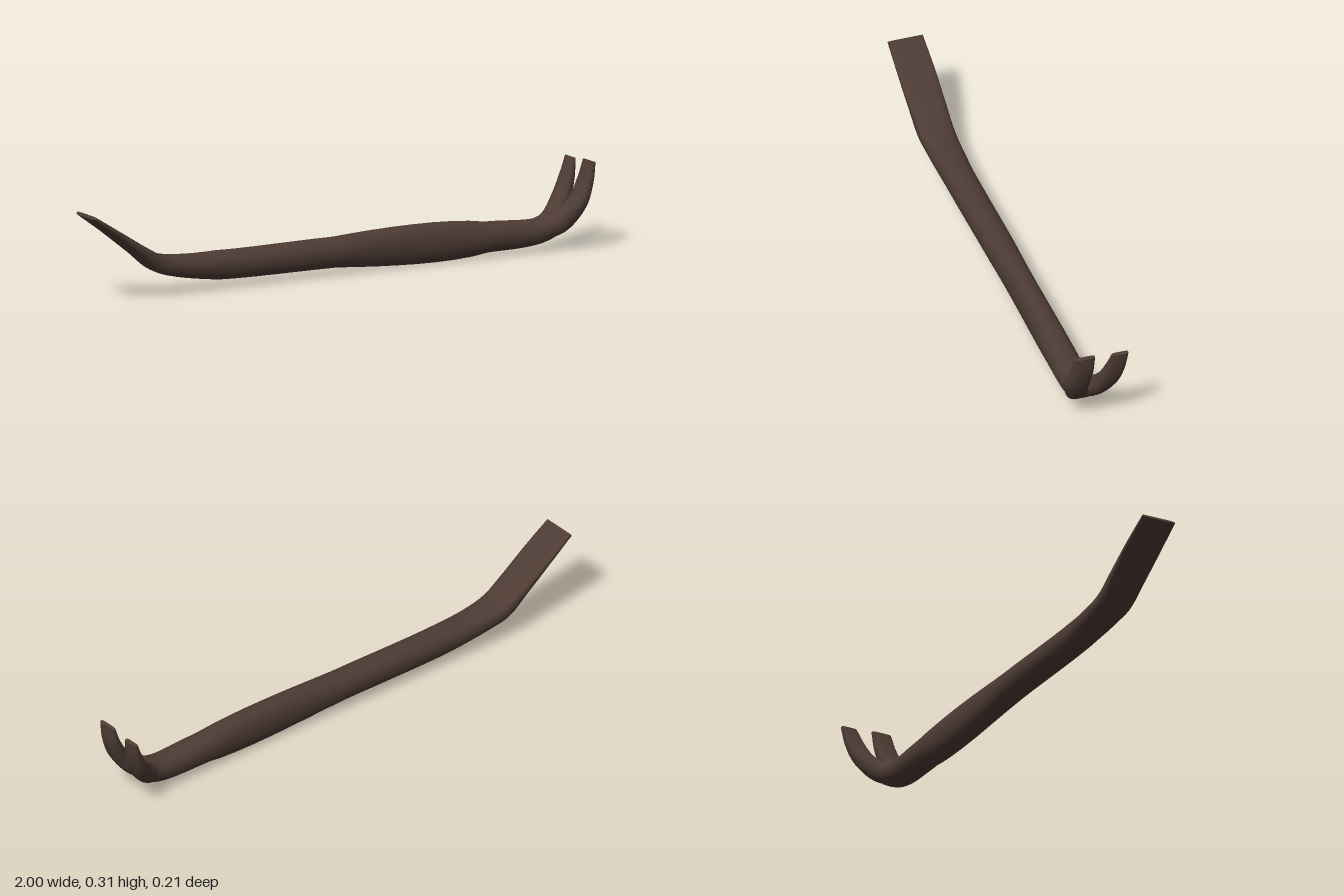
import * as THREE from 'three';
import { toCreasedNormals } from 'three/addons/utils/BufferGeometryUtils.js';

// Loft a rounded bar through stations [x, y, z, halfThickness, halfWidth, squareness],
// where squareness 1 is an ellipse and smaller values are boxier.
function loft(stations, steps, sides = 24) {
  const path = new THREE.CatmullRomCurve3(stations.map(s => new THREE.Vector3(s[0], s[1], s[2])));
  const size = new THREE.CatmullRomCurve3(stations.map(s => new THREE.Vector3(s[3], s[4], s[5])));
  const pos = [], index = [];
  const power = (v, e) => Math.sign(v) * Math.abs(v) ** e;
  for (let i = 0; i <= steps; i++) {
    const p = path.getPoint(i / steps), s = size.getPoint(i / steps), t = path.getTangent(i / steps);
    const len = Math.hypot(t.x, t.y);
    for (let j = 0; j < sides; j++) {
      const a = (j / sides) * Math.PI * 2;
      const n = s.x * power(Math.cos(a), s.z), w = s.y * power(Math.sin(a), s.z);
      pos.push(p.x - (t.y / len) * n, p.y + (t.x / len) * n, p.z + w);
    }
  }
  for (let i = 0; i < steps; i++) {
    for (let j = 0; j < sides; j++) {
      const a = i * sides + j, b = i * sides + (j + 1) % sides;
      index.push(a, b, a + sides, b, b + sides, a + sides);
    }
  }
  // end caps
  const first = stations[0], last = stations[stations.length - 1];
  const c0 = pos.length / 3, base = steps * sides;
  pos.push(...first.slice(0, 3), ...last.slice(0, 3));
  for (let j = 0; j < sides; j++) {
    const k = (j + 1) % sides;
    index.push(c0, k, j, c0 + 1, base + j, base + k);
  }
  const geo = new THREE.BufferGeometry();
  geo.setAttribute('position', new THREE.Float32BufferAttribute(pos, 3));
  geo.setIndex(index);
  return toCreasedNormals(geo, 0.9);
}

export function createModel() {
  const model = new THREE.Group();
  model.name = 'pryBar';
  const iron = new THREE.MeshStandardMaterial({ color: 0x4d3b34 });
  iron.name = 'darkBrownIron';

  const add = (name, stations, steps) => {
    const mesh = new THREE.Mesh(loft(stations, steps), iron);
    mesh.name = name;
    model.add(mesh);
  };

  // flat chisel blade running into the round shaft, ending at the fork
  add('shaftAndBlade', [
    [-0.997, 0.295, 0.022, 0.006, 0.064, 0.35],
    [-0.9, 0.23, 0.018, 0.011, 0.066, 0.4],
    [-0.79, 0.153, 0.014, 0.02, 0.065, 0.5],
    [-0.71, 0.1, 0.012, 0.031, 0.063, 0.6],
    [-0.64, 0.083, 0.011, 0.037, 0.06, 0.75],
    [-0.47, 0.067, 0.01, 0.05, 0.054, 0.9],
    [0, 0.064, 0.012, 0.053, 0.052, 0.9],
    [0.6, 0.056, 0.017, 0.053, 0.052, 0.9],
    [0.8, 0.057, 0.018, 0.044, 0.054, 0.9],
    [0.86, 0.078, 0.016, 0.04, 0.06, 0.9],
    [0.905, 0.115, 0.013, 0.02, 0.038, 0.9],
  ], 80);

  // two claws splaying apart as they curl upward
  add('leftClaw', [
    [0.8, 0.055, 0.03, 0.034, 0.03, 0.9],
    [0.875, 0.085, 0.047, 0.036, 0.04, 0.85],
    [0.935, 0.15, 0.063, 0.028, 0.043, 0.8],
    [0.97, 0.22, 0.058, 0.019, 0.041, 0.7],
    [0.99, 0.291, 0.053, 0.007, 0.037, 0.5],
  ], 28);
  add('rightClaw', [
    [0.8, 0.055, 0.005, 0.034, 0.03, 0.9],
    [0.875, 0.085, -0.012, 0.036, 0.042, 0.85],
    [0.935, 0.15, -0.046, 0.028, 0.041, 0.8],
    [0.97, 0.22, -0.064, 0.019, 0.036, 0.7],
    [0.99, 0.283, -0.075, 0.007, 0.03, 0.5],
  ], 28);

  return model;
}
